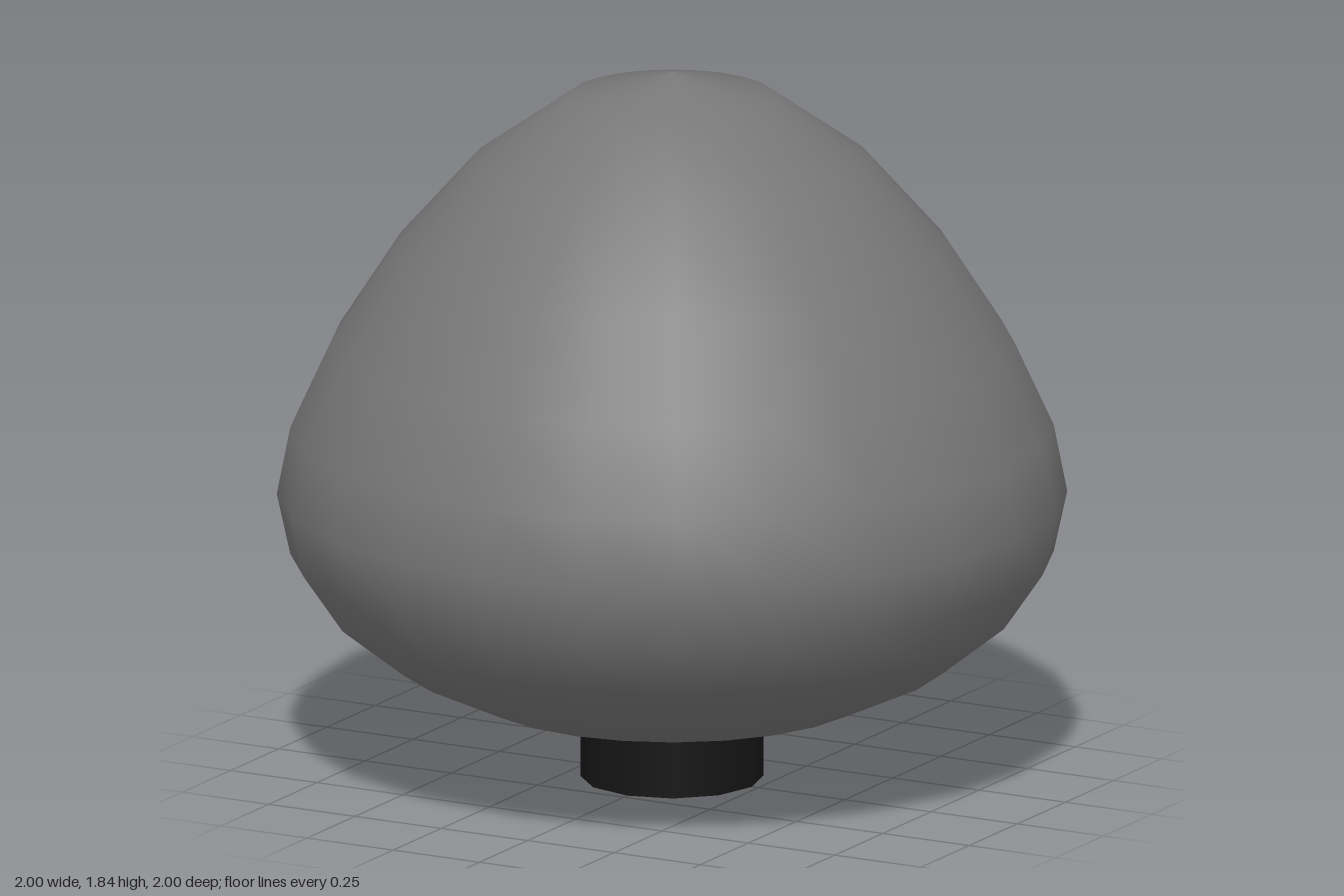
import * as THREE from 'three';

export function createModel() {
  const model = new THREE.Group();

  // Bulb: 24-sided lathe, shallow ellipse below the rim, swelling to a tall dome above it
  const profile = [];
  for (let i = 0; i <= 12; i++) {
    const a = -Math.PI / 2 + (i * Math.PI) / 12;
    const s = Math.sin(a);
    const radius = i === 0 || i === 12 ? 0 : Math.cos(a);
    const rise = 0.605 * s + (s > 0 ? 0.495 * Math.pow(s, 2.5) : 0);
    profile.push(new THREE.Vector2(radius, 0.74 + rise));
  }
  const bulb = new THREE.Mesh(
    new THREE.LatheGeometry(profile, 24),
    new THREE.MeshStandardMaterial({ color: 0x777777 })
  );
  bulb.name = 'bulb';
  model.add(bulb);

  // Collar: thin open tube under the bulb
  const height = 0.157;
  const collar = new THREE.Mesh(
    new THREE.CylinderGeometry(0.232, 0.232, height, 12, 1, true),
    new THREE.MeshStandardMaterial({ color: 0x151515, side: THREE.DoubleSide })
  );
  collar.name = 'collar';
  collar.position.y = height / 2;
  model.add(collar);

  return model;
}
